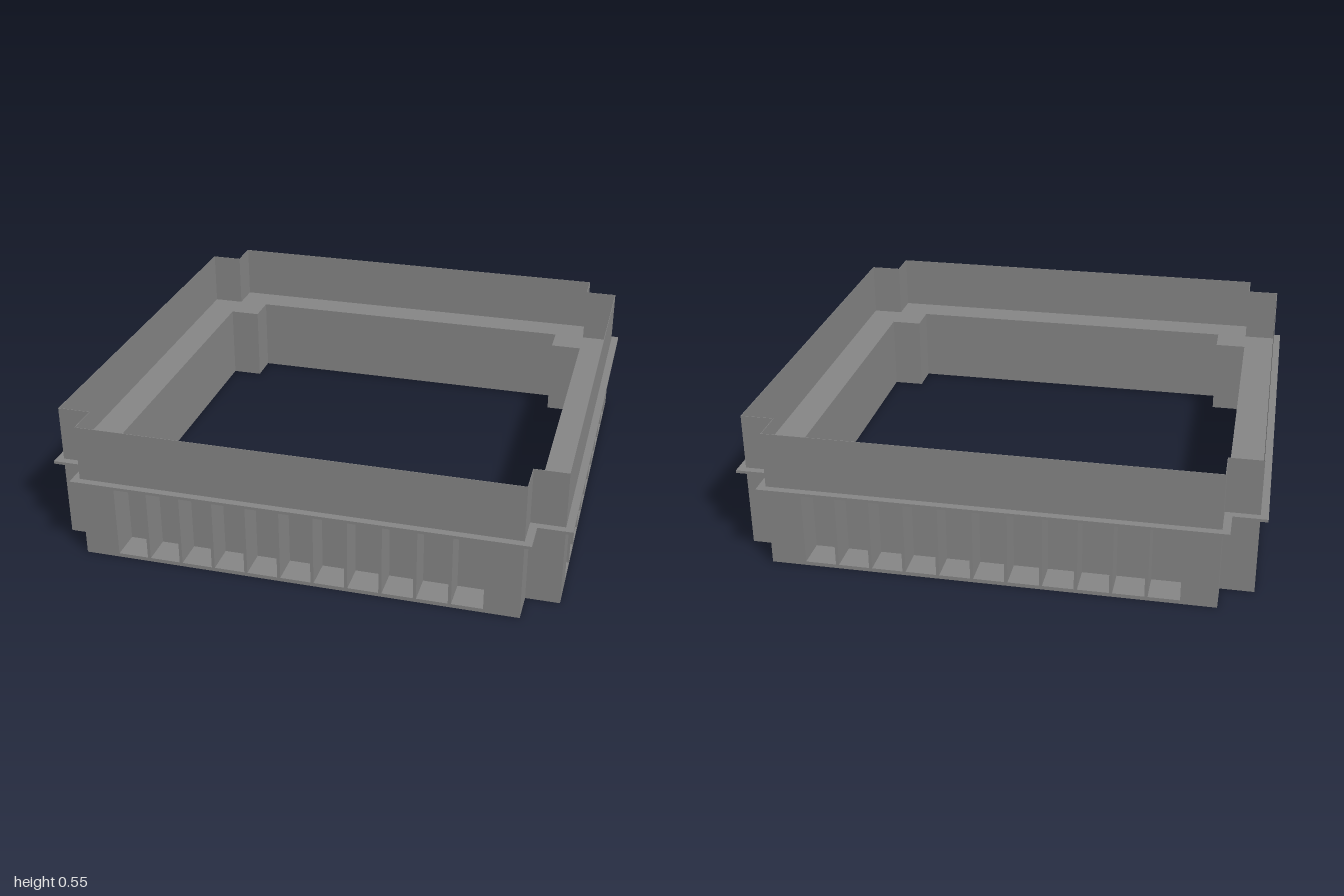
import * as THREE from 'three';

const NOTCH = 0.128;       // size of the square step at every corner
const OUTER = 0.971;       // half width of the outer wall
const INNER = 0.841;       // half width of the opening
const BAYS = 11, PITCH = 0.13, BAY_WIDTH = 0.118, BAY_DEPTH = 0.12;

// Repeat one side's outline around the four sides, counter-clockwise
function fourSides(side) {
  const points = [];
  for (let k = 0; k < 4; k++) {
    for (const [x, y] of side) {
      points.push(new THREE.Vector2(x, y).rotateAround(new THREE.Vector2(), k * Math.PI / 2));
    }
  }
  return points;
}

// Square outline with stepped-in corners
function steppedSquare(half, step = half - NOTCH) {
  return fourSides([[step, half], [-step, half], [-step, step]]);
}

// The same outline with a row of niches cut into every side
function nichedSquare(half) {
  const step = half - NOTCH;
  const side = [[step, half]];
  for (let i = 0; i < BAYS; i++) {
    const c = ((BAYS - 1) / 2 - i) * PITCH;
    const a = c + BAY_WIDTH / 2, b = c - BAY_WIDTH / 2;
    side.push([a, half], [a, half - BAY_DEPTH], [b, half - BAY_DEPTH], [b, half]);
  }
  side.push([-step, half], [-step, step]);
  return fourSides(side);
}

// Upright ring between two outlines, from y0 to y1
function ring(name, outline, hole, y0, y1, material) {
  const shape = new THREE.Shape(outline);
  shape.holes.push(new THREE.Path(hole));
  const geometry = new THREE.ExtrudeGeometry(shape, { depth: y1 - y0, bevelEnabled: false });
  geometry.rotateX(-Math.PI / 2).translate(0, y0, 0);
  const mesh = new THREE.Mesh(geometry, material);
  mesh.name = name;
  return mesh;
}

export function createModel() {
  const model = new THREE.Group();
  model.name = 'steppedWallRing';
  const material = new THREE.MeshStandardMaterial({ color: 0x868686, flatShading: true, side: THREE.DoubleSide });

  const wall = steppedSquare(OUTER);
  const opening = steppedSquare(INNER);

  model.add(
    // Lower wall: base, band of niches and the ledge above them
    ring('base', wall, opening, 0, 0.015, material),
    ring('nicheBand', nichedSquare(OUTER), opening, 0.015, 0.298, material),
    ring('ledge', wall, opening, 0.298, 0.32, material),
    // Thin projecting moulding
    ring('moulding', steppedSquare(1), wall, 0.315, 0.326, material),
    // Thin parapet on the outer edge
    ring('parapet', wall, steppedSquare(OUTER - 0.002), 0.32, 0.545, material),
  );
  return model;
}
